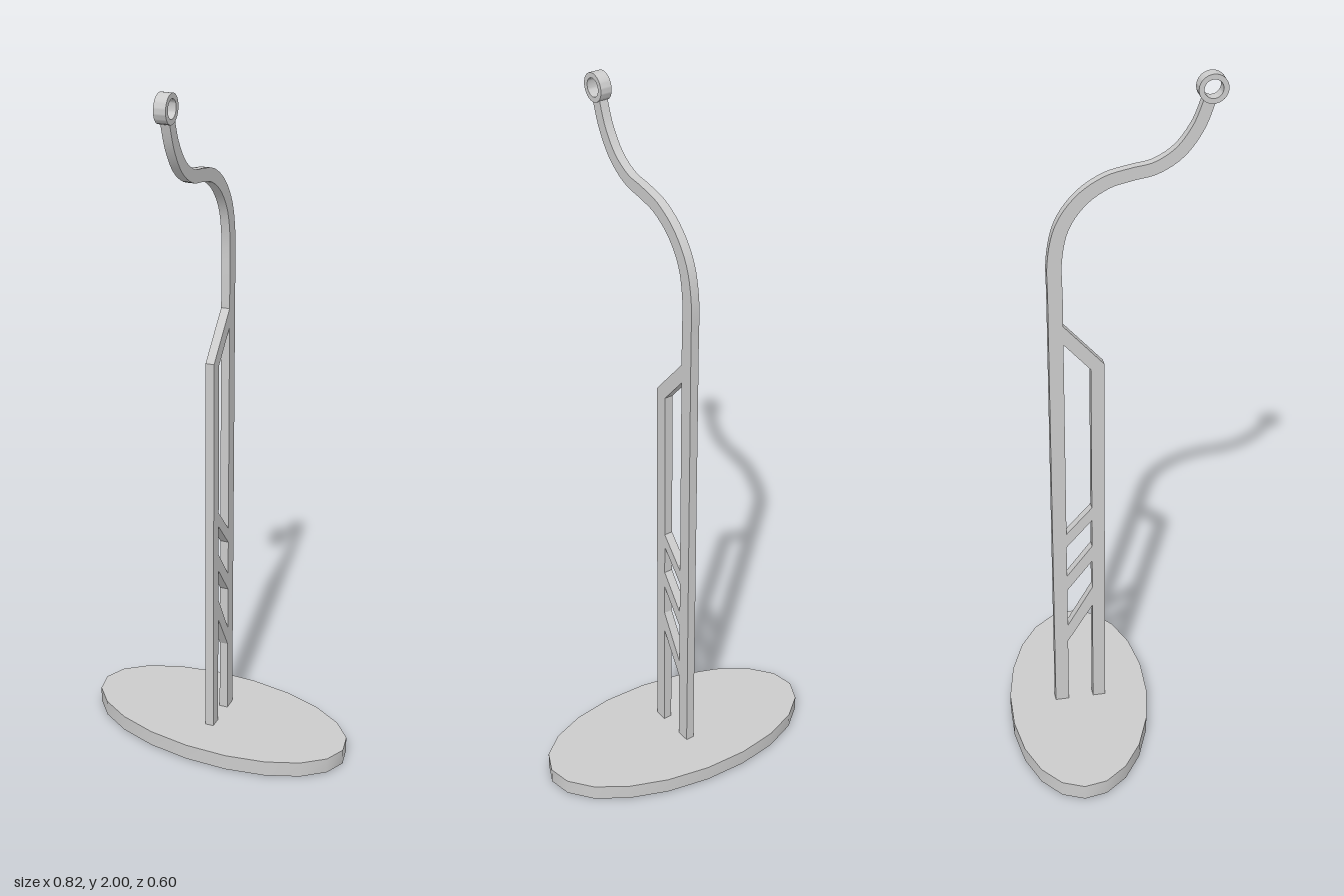
import * as THREE from 'three';
import { toCreasedNormals } from 'three/addons/utils/BufferGeometryUtils.js';

const material = new THREE.MeshStandardMaterial({ color: 0xcccccc });

// Extrude a side profile and centre it on its thickness
function plate(name, shape, depth, curveSegments = 12) {
  const geometry = new THREE.ExtrudeGeometry(shape, { depth, bevelEnabled: false, curveSegments });
  geometry.translate(0, 0, -depth / 2);
  const mesh = new THREE.Mesh(toCreasedNormals(geometry, 0.5), material);
  mesh.name = name;
  return mesh;
}

const points = (list) => list.map(([x, y]) => new THREE.Vector2(x, y));

export function createModel() {
  const model = new THREE.Group();
  model.name = 'hookStand';

  // Oval base, slightly turned; the legs pass through to its underside
  const base = new THREE.Mesh(
    toCreasedNormals(new THREE.CylinderGeometry(1, 1, 0.046, 20).rotateY(Math.PI / 2).scale(0.408, 1, 0.207), 0.9),
    material
  );
  base.name = 'base';
  base.position.set(0, 0.025, -0.0945);
  base.rotation.y = 0.012;
  model.add(base);

  // Upright frame, drawn in its side plane: x runs forward, y up
  const frame = new THREE.Group();
  frame.name = 'frame';
  frame.position.x = 0.008;
  frame.rotation.y = -THREE.MathUtils.degToRad(82);
  model.add(frame);

  const backOut = -0.167, backIn = -0.127, frontIn = -0.053, frontOut = -0.016;

  // Curved neck: two edges offset from a centre line, tapering to the eyelet
  const neck = new THREE.SplineCurve(points([
    [-0.147, 1.42], [-0.147, 1.52], [-0.127, 1.612], [-0.078, 1.683], [-0.012, 1.728],
    [0.055, 1.746], [0.12, 1.759], [0.182, 1.798], [0.228, 1.862], [0.254, 1.93],
  ]));
  const inner = [], outer = [];
  const steps = 40;
  for (let i = 0; i <= steps; i++) {
    const t = i / steps;
    const p = neck.getPoint(t), d = neck.getTangent(t);
    const half = THREE.MathUtils.lerp(0.02, 0.016, t);
    inner.push(new THREE.Vector2(p.x + d.y * half, p.y - d.x * half));
    outer.push(new THREE.Vector2(p.x - d.y * half, p.y + d.x * half));
  }

  // Outline of both legs, the top brace and the neck
  const outline = new THREE.Shape([
    ...points([
      [backOut, 0], [backIn, 0], [backIn, 0.268], [frontIn, 0.39],
      [frontIn, 0], [frontOut, 0], [frontOut, 1.2], [backIn, 1.325],
    ]),
    ...inner,
    ...outer.reverse(),
  ]);

  // Openings between the slanted rungs: y at back bottom, front bottom, front top, back top
  for (const [a, b, c, d] of [
    [0.325, 0.455, 0.55, 0.454],
    [0.505, 0.602, 0.692, 0.608],
    [0.653, 0.735, 1.186, 1.27],
  ]) {
    outline.holes.push(new THREE.Path(points([[backIn, a], [backIn, d], [frontIn, c], [frontIn, b]])));
  }
  frame.add(plate('uprightFrame', outline, 0.025));

  // Eyelet at the tip of the neck
  const ring = new THREE.Shape().absarc(0, 0, 0.039, 0, Math.PI * 2, false);
  ring.holes.push(new THREE.Path().absarc(0, 0, 0.025, 0, Math.PI * 2, true));
  const eyelet = plate('eyelet', ring, 0.033, 24);
  eyelet.position.set(0.263, 1.961, 0);
  frame.add(eyelet);

  return model;
}
